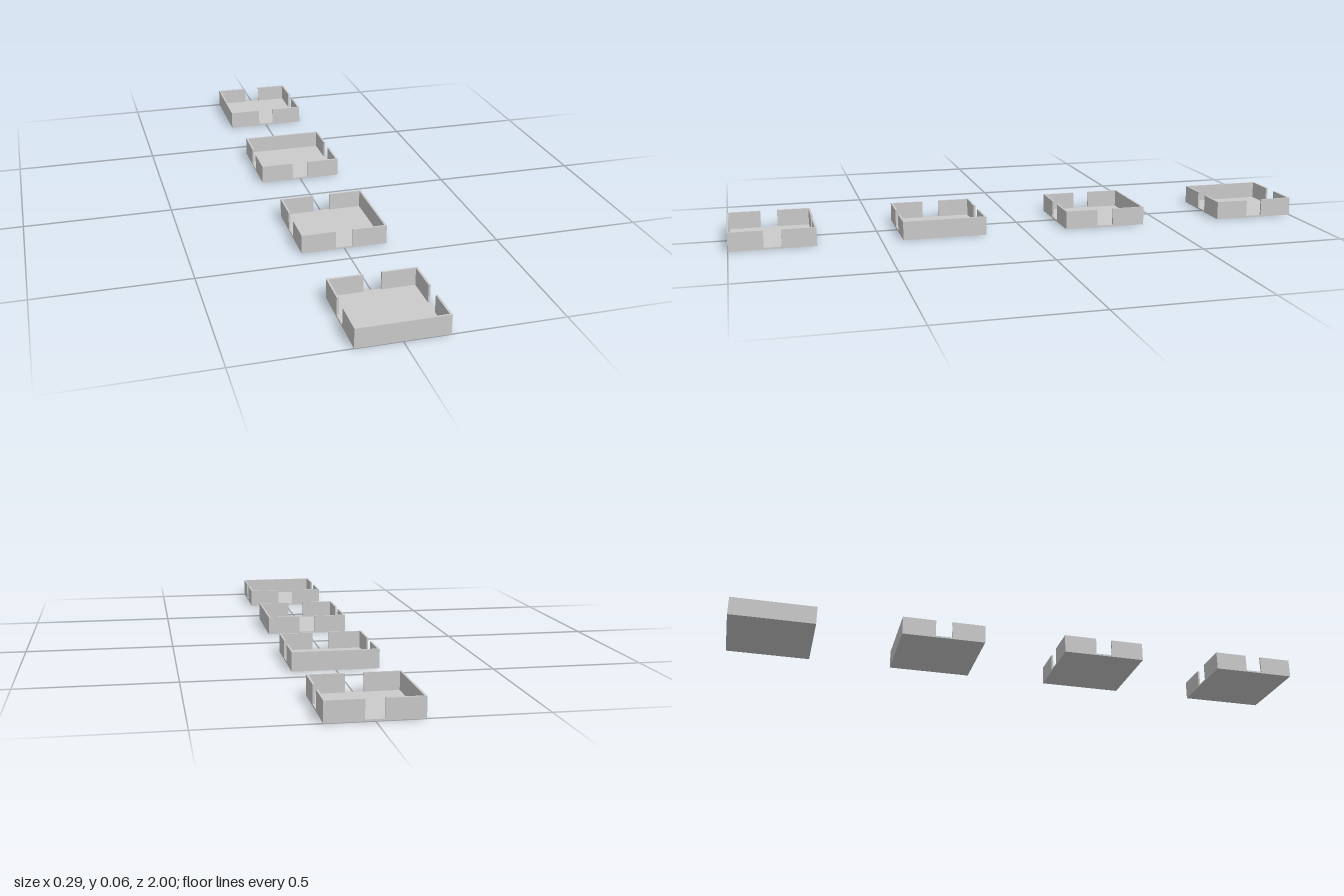
import * as THREE from 'three';

const SIZE = 2 / 7;        // tray width and depth
const HEIGHT = 0.0635;     // total tray height
const FLOOR = 0.0057;      // floor thickness
const WALL = 0.0065;       // wall thickness
const DOOR = 0.0572;       // width of the doorway in a wall

const material = new THREE.MeshStandardMaterial({ color: 0xcccccc, flatShading: true });

// One wall along +z, before it is turned to its side of the tray.
// The two walls along z fit between the two along x, so corners do not overlap.
function createWall(length, open) {
  const wall = new THREE.Group();
  const h = HEIGHT - FLOOR;
  const addPanel = (width, x, name) => {
    const panel = new THREE.Mesh(new THREE.BoxGeometry(width, h, WALL), material);
    panel.position.set(x, FLOOR + h / 2, SIZE / 2 - WALL / 2);
    panel.name = name;
    wall.add(panel);
  };
  if (open) {
    const width = (length - DOOR) / 2;
    for (const s of [-1, 1]) addPanel(width, s * (DOOR + width) / 2, 'doorwayWallPanel');
  } else {
    addPanel(length, 0, 'solidWallPanel');
  }
  return wall;
}

// A square room tray: three walls with a doorway and one solid wall.
// Sides: 0 = front, 1 = left (+x), 2 = back, 3 = right (-x).
function createRoom(solidSide) {
  const room = new THREE.Group();
  const floor = new THREE.Mesh(new THREE.BoxGeometry(SIZE, FLOOR, SIZE), material);
  floor.position.y = FLOOR / 2;
  floor.name = 'floor';
  room.add(floor);
  ['frontWall', 'leftWall', 'backWall', 'rightWall'].forEach((name, side) => {
    const length = side % 2 ? SIZE - 2 * WALL : SIZE;
    const wall = createWall(length, side !== solidSide);
    wall.rotation.y = side * Math.PI / 2;
    wall.name = name;
    room.add(wall);
  });
  return room;
}

export function createModel() {
  const model = new THREE.Group();
  model.name = 'roomTiles';
  // Four rooms in a row; the solid wall moves one side round each time
  for (let i = 0; i < 4; i++) {
    const room = createRoom(i);
    room.position.z = (1.5 - i) * 2 * SIZE;
    room.name = `room${i + 1}`;
    model.add(room);
  }
  return model;
}
